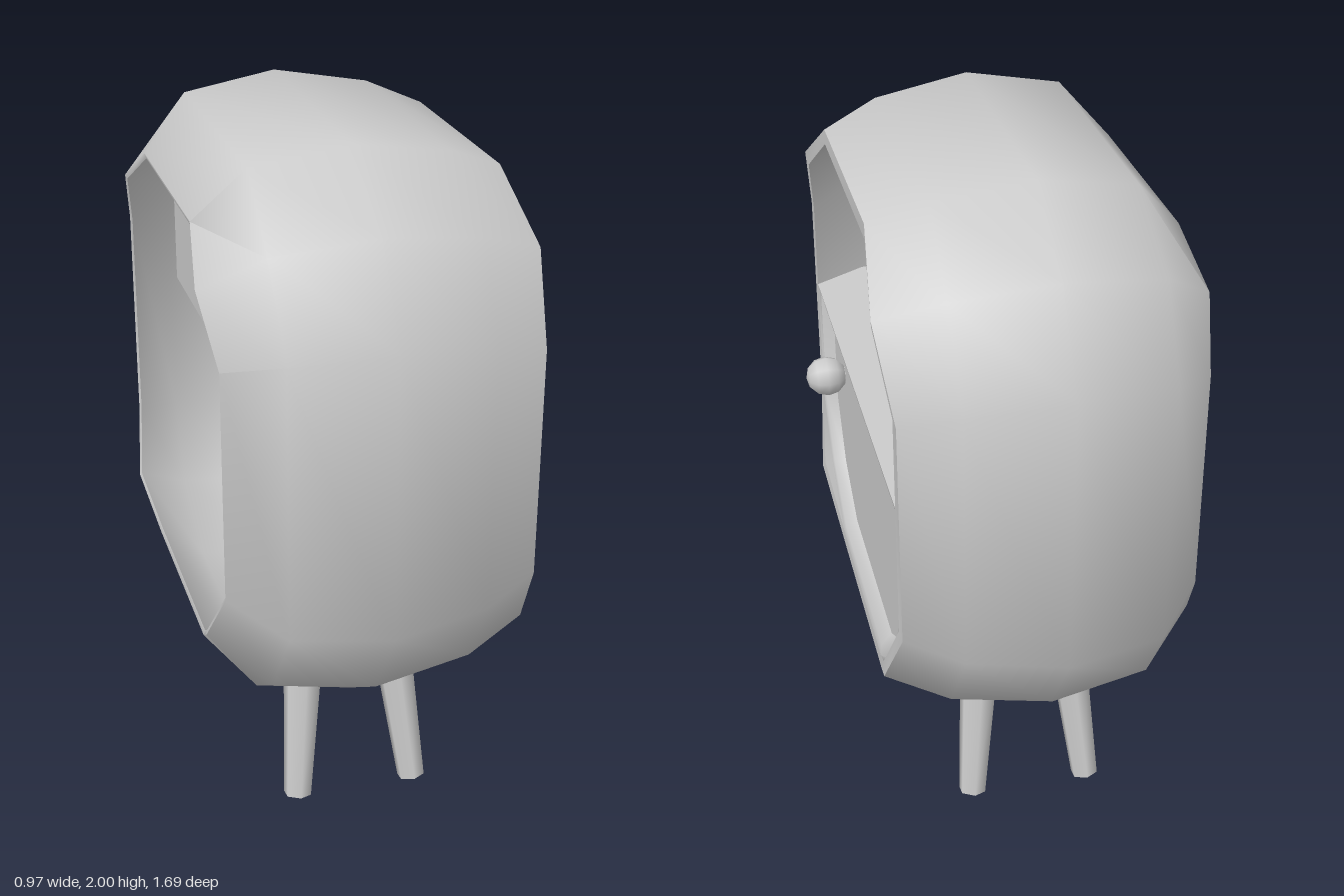
import * as THREE from 'three';
import { toCreasedNormals } from 'three/addons/utils/BufferGeometryUtils.js';

const MID_Y = 1.165;
const solid = new THREE.MeshStandardMaterial({ color: 0xcccccc });
const thin = new THREE.MeshStandardMaterial({ color: 0xcccccc, side: THREE.DoubleSide });

// Skin a list of closed loops of [x, y, z] points; closed joins the last loop to the first
function loft(loops, closed, crease) {
  const n = loops[0].length, m = loops.length, index = [];
  for (let i = 0; i < (closed ? m : m - 1); i++) {
    for (let j = 0; j < n; j++) {
      const a = i * n + j, b = ((i + 1) % m) * n + j;
      const c = i * n + (j + 1) % n, d = ((i + 1) % m) * n + (j + 1) % n;
      index.push(a, b, c, b, d, c);
    }
  }
  const g = new THREE.BufferGeometry();
  g.setAttribute('position', new THREE.Float32BufferAttribute(loops.flat(2), 3));
  g.setIndex(index);
  g.computeVertexNormals();
  return toCreasedNormals(g, crease);
}

// Twelve-point rounded square: flat sides at x, the corner middles at xc
function ring([x, xc, Z, Y, z1, y1, zc, yc]) {
  return [
    [x, Y, z1], [x, Y, -z1], [xc, yc, -zc], [x, y1, -Z], [x, -y1, -Z], [xc, -yc, -zc],
    [x, -Y, -z1], [x, -Y, z1], [xc, -yc, zc], [x, -y1, Z], [x, y1, Z], [xc, yc, zc],
  ].map(([px, py, pz]) => [px, py + MID_Y, pz]);
}

// Lower-half outline: straight top edge, chamfered bottom corners
function lowerLoop(x, half) {
  const right = half.map(([z, y]) => [x, y, -z]);
  const left = half.map(([z, y]) => [x, y, z]).reverse();
  return [...right, ...left];
}

// Flat panel facing +x from half an outline of [z, y], mirrored in z
function panel(x, half) {
  const pts = [...half, ...half.map(([z, y]) => [-z, y]).reverse()];
  const g = new THREE.ShapeGeometry(new THREE.Shape(pts.map(([z, y]) => new THREE.Vector2(z, y))));
  return g.rotateY(Math.PI / 2).translate(x, 0, 0);
}

export function createModel() {
  const model = new THREE.Group();
  const add = (name, geometry, material = solid) => {
    const mesh = new THREE.Mesh(geometry, material);
    mesh.name = name;
    model.add(mesh);
    return mesh;
  };

  // Thin-walled rounded shell: outside back to front, then the inside front to back
  const sections = [
    [-0.46, -0.49, 0.65, 0.635, 0.33, 0.335, 0.52, 0.515],
    [-0.32, -0.33, 0.80, 0.79, 0.40, 0.395, 0.645, 0.63],
    [-0.04, -0.04, 0.845, 0.835, 0.42, 0.415, 0.68, 0.665],
    [0.24, 0.25, 0.80, 0.79, 0.39, 0.385, 0.645, 0.63],
    [0.40, 0.43, 0.73, 0.725, 0.34, 0.335, 0.58, 0.565],
    [0.40, 0.425, 0.68, 0.68, 0.34, 0.335, 0.55, 0.535],
    [0.24, 0.25, 0.78, 0.77, 0.385, 0.38, 0.63, 0.615],
    [-0.04, -0.04, 0.825, 0.815, 0.415, 0.41, 0.665, 0.65],
    [-0.31, -0.32, 0.785, 0.775, 0.395, 0.39, 0.63, 0.615],
    [-0.455, -0.485, 0.635, 0.62, 0.325, 0.33, 0.51, 0.505],
  ];
  add('shell', loft(sections.map(ring), true, 1.0));

  // Frame around the door, sloping back to it
  const outer = [[0.68, 1.23], [0.68, 0.83], [0.55, 0.63], [0.34, 0.485]];
  const inner = [[0.635, 1.18], [0.635, 0.83], [0.51, 0.65], [0.31, 0.54]];
  const between = outer.map(([z, y], i) => [(z + inner[i][0]) / 2, (y + inner[i][1]) / 2]);
  // Each loop starts at the +z top corner and runs toward -z
  const frameLoops = [[0.40, outer], [0.395, between], [0.36, inner]].map(([x, h]) => lowerLoop(x, h));
  add('doorFrame', loft(frameLoops, false, 1.0), thin);

  // Door
  add('door', panel(0.36, inner), thin);

  // Knob on a short stem
  const knob = add('doorKnob', new THREE.SphereGeometry(0.065, 8, 6).rotateZ(-Math.PI / 2));
  knob.position.set(0.418, 1.015, 0.45);
  const stem = add('knobStem', new THREE.CylinderGeometry(0.025, 0.03, 0.06, 8).rotateZ(-Math.PI / 2));
  stem.position.set(0.375, 1.015, 0.45);

  // Shelf widening toward the back, and the back of the upper compartment
  const shelf = new THREE.Shape([[0.40, 0.68], [0.24, 0.775], [-0.04, 0.815], [-0.29, 0.79],
    [-0.29, -0.79], [-0.04, -0.815], [0.24, -0.775], [0.40, -0.68]].map(([x, z]) => new THREE.Vector2(x, z)));
  add('shelf', new THREE.ShapeGeometry(shelf).rotateX(-Math.PI / 2).translate(0, 1.23, 0), thin);
  add('upperBackPanel', panel(-0.29, [[0.79, 1.23], [0.79, 1.555], [0.635, 1.785], [0.397, 1.943]]), thin);

  // Four splayed, tapered, open-ended legs reaching through the floor
  const up = new THREE.Vector3(0, 1, 0);
  for (const sx of [1, -1]) {
    for (const sz of [1, -1]) {
      const foot = new THREE.Vector3(-0.032 + sx * 0.18, 0.004, sz * 0.455);
      const top = new THREE.Vector3(-0.032 + sx * 0.137, 0.44, sz * 0.367);
      const axis = top.clone().sub(foot);
      const leg = add('leg', new THREE.CylinderGeometry(0.06, 0.042, axis.length(), 6, 1, true), thin);
      leg.position.copy(foot).add(top).multiplyScalar(0.5);
      leg.quaternion.setFromUnitVectors(up, axis.normalize());
    }
  }
  return model;
}
